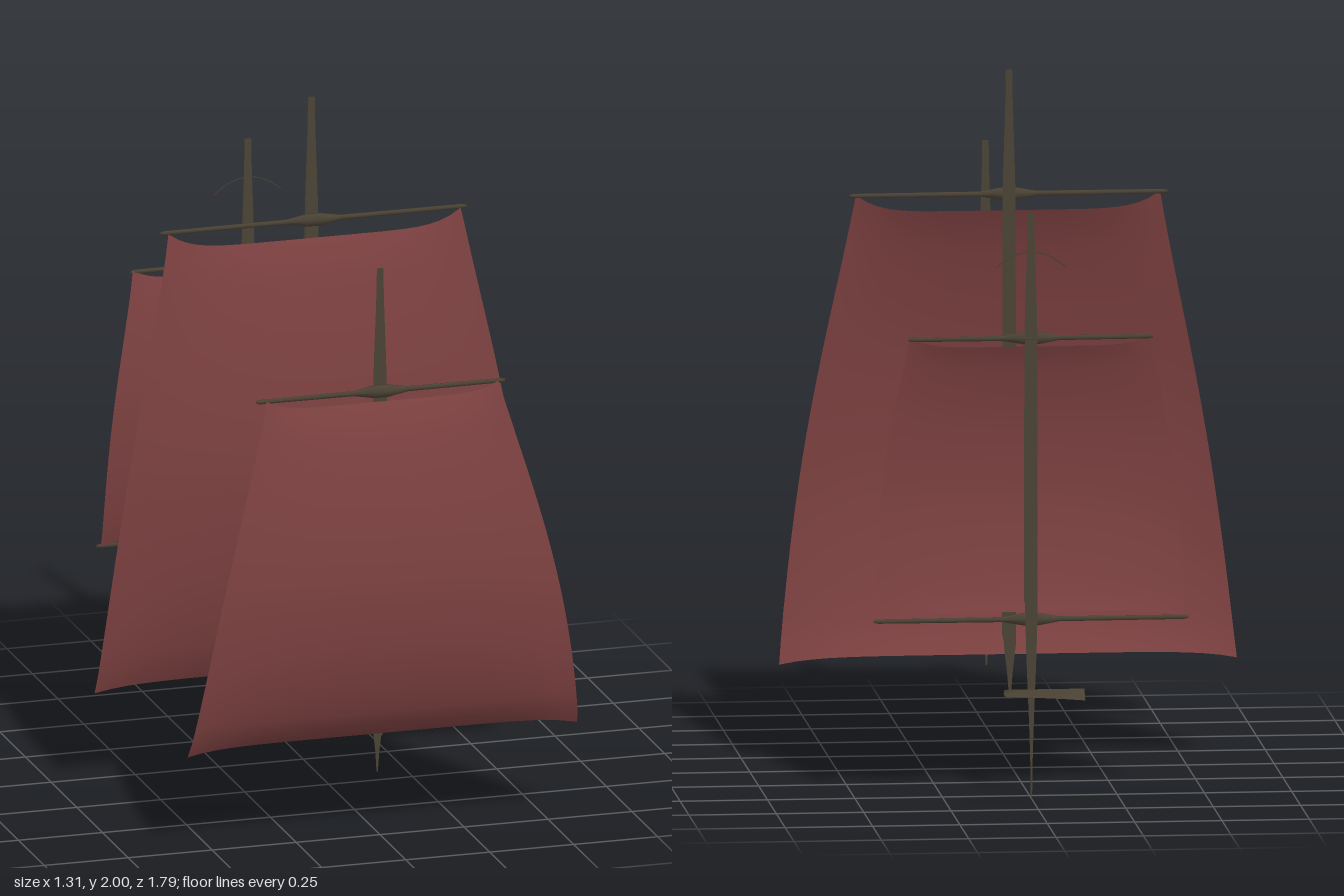
import * as THREE from 'three';

const { lerp, smoothstep } = THREE.MathUtils;

const sailMat = new THREE.MeshStandardMaterial({ color: 0x7c4040, side: THREE.DoubleSide });
sailMat.name = 'red sailcloth';
const woodMat = new THREE.MeshStandardMaterial({ color: 0x4a4234, side: THREE.DoubleSide });
woodMat.name = 'dark wood';

// Smooth sheet from a rule: point(u, v) with u, v in 0..1
function sheet(name, nu, nv, mat, point) {
  const g = new THREE.PlaneGeometry(1, 1, nu, nv);
  const p = g.attributes.position;
  for (let i = 0; i < p.count; i++) {
    p.setXYZ(i, ...point(p.getX(i) + 0.5, p.getY(i) + 0.5));
  }
  g.computeVertexNormals();
  const m = new THREE.Mesh(g, mat);
  m.name = name;
  return m;
}

// Billowing square sail: deepest in the middle, shallower at the side edges, peaked upper corners
function makeSail({ foot, head, bottom, top, z, depth, edgeDepth, skew, lift }) {
  return sheet('sail', 28, 24, sailMat, (u, v) => {
    const s = u * 2 - 1, a = Math.abs(s), corner = Math.pow(a, 7);
    const belly = Math.pow(Math.max(0, Math.sin(Math.PI * Math.pow(v, skew))), 0.75);
    const half = lerp(bottom, top, v) + 0.025 * Math.sin(Math.PI * v);
    const y = lerp(foot, head, v) + corner * (lift * Math.pow(v, 8) - 0.02 * Math.pow(1 - v, 8));
    return [s * half, y, z + belly * lerp(depth, edgeDepth, Math.pow(a, 2.4))];
  });
}

// Flat mast strip: a thin spike at the foot, full width by the sail, tapering above the yard
function makeStrip(name, y0, z0, y1, z1, sail) {
  return sheet(name, 1, 24, woodMat, (u, v) => {
    const y = lerp(y0, y1, v);
    const w = lerp(0.002, 0.018, smoothstep(y, y0, sail.foot + 0.06))
      * (1 - 0.5 * smoothstep(y, sail.head, y1));
    return [(u * 2 - 1) * w, y, lerp(z0, z1, v)];
  });
}

// Thin spar tapering to both ends, with a swollen middle
function makeYard(half, y, z) {
  const side = [[0.004, half], [0.007, half * 0.97], [0.008, 0.08], [0.02, 0.02]];
  const rings = [...side.map(([r, h]) => [r, -h]), ...side.reverse()];
  const m = new THREE.Mesh(
    new THREE.LatheGeometry(rings.map(([r, h]) => new THREE.Vector2(r, h)), 6), woodMat);
  m.rotation.z = -Math.PI / 2;
  m.scale.z = 0.6;
  m.position.set(0, y, z);
  m.name = 'yard';
  return m;
}

// Strips are [foot y, foot z, tip y, tip z]; yards are [half length, y, z]
const RIGS = [
  {
    name: 'foreMast',
    sail: { foot: 0.31, head: 1.3, bottom: 0.58, top: 0.345, z: 0.772, depth: 0.127, edgeDepth: 0.078, skew: 0.85, lift: 0.03 },
    back: [0.18, 0.722, 1.69, 0.748],
    front: [0.3, 0.765, 1.69, 0.754],
    yards: [[0.37, 1.325, 0.755]],
  },
  {
    name: 'mainMast',
    sail: { foot: 0.31, head: 1.59, bottom: 0.655, top: 0.435, z: 0.112, depth: 0.123, edgeDepth: 0.058, skew: 0.9, lift: 0.05 },
    back: [0.19, 0.058, 2, 0.077],
    front: [0.3, 0.108, 2, 0.086],
    yards: [[0.455, 1.64, 0.1]],
  },
  {
    name: 'rearMast',
    sail: { foot: 0.535, head: 1.3, bottom: 0.44, top: 0.345, z: -0.53, depth: 0.068, edgeDepth: 0.046, skew: 1, lift: 0.03 },
    back: [0, -0.553, 1.69, -0.541],
    front: [0.33, -0.515, 1.69, -0.534],
    yards: [[0.35, 1.325, -0.533], [0.45, 0.515, -0.538]],
  },
];

export function createModel() {
  const model = new THREE.Group();
  model.name = 'sailRig';

  for (const { name, sail, back, front, yards } of RIGS) {
    const group = new THREE.Group();
    group.name = name;
    group.add(makeSail(sail));
    group.add(makeStrip('mastBack', ...back, sail), makeStrip('mastFront', ...front, sail));
    for (const yard of yards) group.add(makeYard(...yard));
    model.add(group);
  }

  // Thin line slung over the rear masthead
  const arc = new THREE.QuadraticBezierCurve3(
    new THREE.Vector3(-0.1, 1.53, -0.54), new THREE.Vector3(0, 1.62, -0.54), new THREE.Vector3(0.1, 1.53, -0.54));
  const line = new THREE.Mesh(new THREE.TubeGeometry(arc, 12, 0.0015, 4), woodMat);
  line.name = 'mastheadLine';
  model.add(line);

  // Small ridged spar behind the rig, flaring at one end
  model.add(sheet('sternSpar', 4, 2, woodMat, (u, v) => {
    const s = v * 2 - 1;
    const w = 0.012 + 0.016 * Math.pow(1 - u, 4);
    return [-0.12 + 0.23 * u, 0.365 - Math.abs(s) * (0.018 + 0.012 * (1 - u)), -0.862 - s * w];
  }));

  return model;
}
